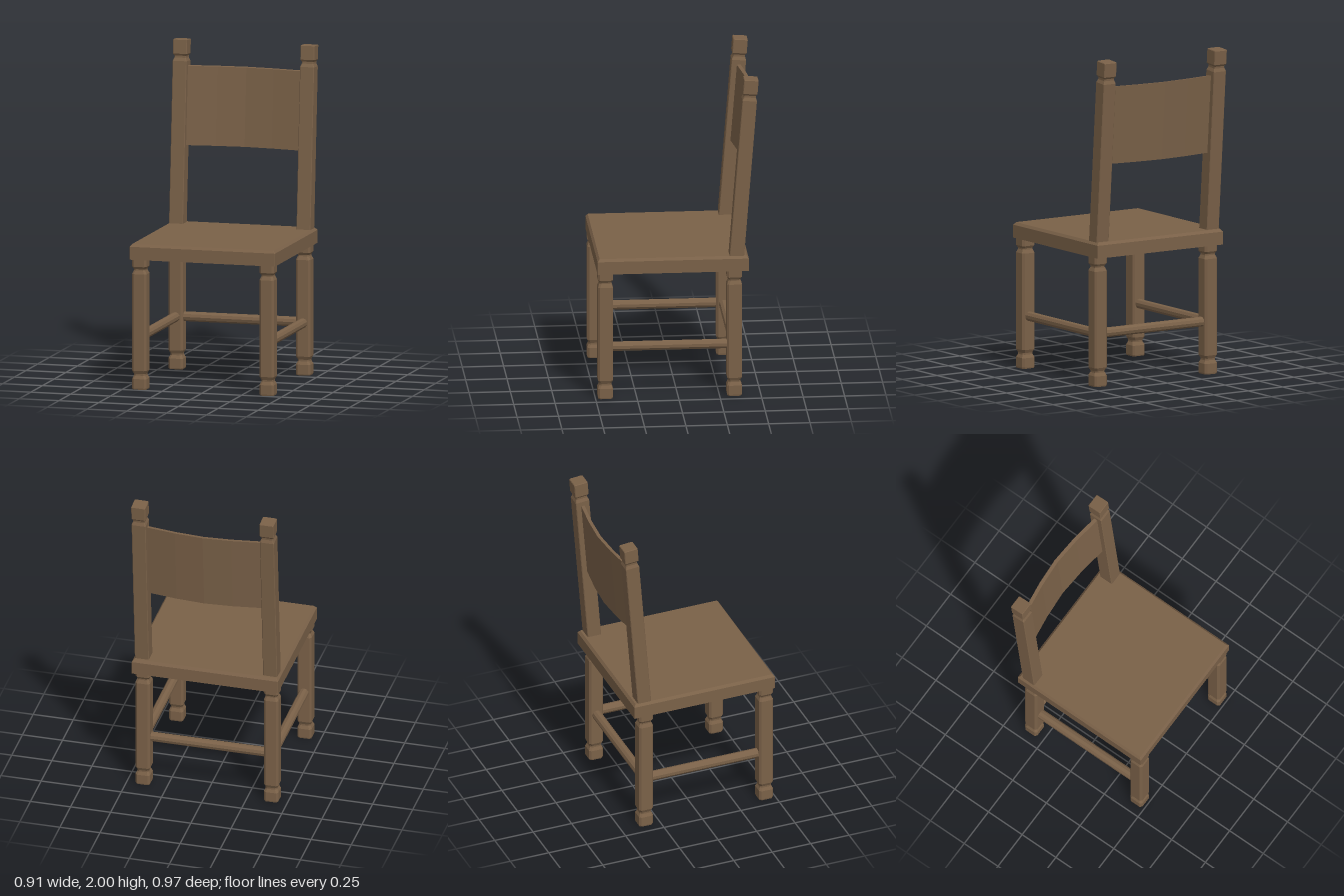
import * as THREE from 'three';

const wood = new THREE.MeshStandardMaterial({ color: 0x7a6148, flatShading: true });
wood.name = 'brown wood';

// Rectangle outline with cut corners, counter-clockwise seen from above
function outline(hx, hz, c) {
  return [[hx, hz - c], [hx, c - hz], [hx - c, -hz], [c - hx, -hz],
    [-hx, c - hz], [-hx, hz - c], [c - hx, hz], [hx - c, hz]];
}

// Skin equal-sized closed rings of points, with flat caps at both ends
function loft(rings) {
  const n = rings[0].length, pos = [];
  const tri = (a, b, c) => pos.push(...a, ...b, ...c);
  for (let i = 0; i < rings.length - 1; i++) {
    for (let j = 0; j < n; j++) {
      const k = (j + 1) % n, lo = rings[i], hi = rings[i + 1];
      tri(lo[j], lo[k], hi[k]);
      tri(lo[j], hi[k], hi[j]);
    }
  }
  const first = rings[0], last = rings[rings.length - 1];
  for (let j = 1; j < n - 1; j++) {
    tri(first[0], first[j + 1], first[j]);
    tri(last[0], last[j], last[j + 1]);
  }
  const geo = new THREE.BufferGeometry();
  geo.setAttribute('position', new THREE.Float32BufferAttribute(pos, 3));
  geo.computeVertexNormals();
  return geo;
}

// Square turned post from [height, half width] pairs
const post = (profile, c) => loft(profile.map(([y, h]) =>
  outline(h, h, c).map(([x, z]) => [x, y, z])));

export function createModel() {
  const chair = new THREE.Group();
  chair.name = 'chair';
  const add = (name, geo, x, y, z) => {
    const mesh = new THREE.Mesh(geo, wood);
    mesh.name = name;
    mesh.position.set(x, y, z);
    chair.add(mesh);
    return mesh;
  };

  // Seat board with a bevelled top edge
  const seat = [[0.793, 0], [0.872, 0], [0.888, 0.013]].map(([y, inset]) =>
    outline(0.456 - inset, 0.457 - inset, 0.002).map(([x, z]) => [x, y, z]));
  add('seat', loft(seat), 0, 0, 0.032);

  // Legs with a grooved foot and head
  const legGeo = post([[0, 0.043], [0.008, 0.045], [0.065, 0.045], [0.085, 0.036], [0.095, 0.036],
    [0.115, 0.045], [0.705, 0.045], [0.727, 0.036], [0.735, 0.036], [0.75, 0.045], [0.795, 0.045]], 0.012);
  // Leaning back posts with a block finial
  const backGeo = post([[-0.03, 0.044], [0.98, 0.044], [1.0, 0.036], [1.012, 0.036],
    [1.024, 0.044], [1.108, 0.044], [1.112, 0.041]], 0.004);
  // Round rails between the legs
  const railGeo = length => new THREE.CylinderGeometry(0.03, 0.03, length, 10);
  const sideRail = railGeo(0.74);

  for (const [side, s] of [['left', 1], ['right', -1]]) {
    add(side + 'FrontLeg', legGeo, 0.4 * s, 0, 0.44);
    add(side + 'BackLeg', legGeo, 0.4 * s, 0, -0.34);
    add(side + 'BackPost', backGeo, 0.4 * s, 0.888, -0.354).rotation.x = -0.079;
    add(side + 'Rail', sideRail, 0.4 * s, 0.32, 0.05).rotation.x = Math.PI / 2;
  }
  add('backRail', railGeo(0.74), 0, 0.32, -0.34).rotation.z = Math.PI / 2;

  // Bowed, leaning back panel, swept from one side to the other
  const panel = [[-0.37, 0.039], [-0.175, 0.012], [0, 0], [0.175, 0.012], [0.37, 0.039]].map(([x, bow]) => {
    const top = -0.478 + bow, bottom = top + 0.039, t = 0.022;
    return [[x, 1.36, bottom], [x, 1.838, top], [x, 1.836, top + t], [x, 1.358, bottom + t]];
  });
  add('backPanel', loft(panel), 0, 0, 0);

  return chair;
}
